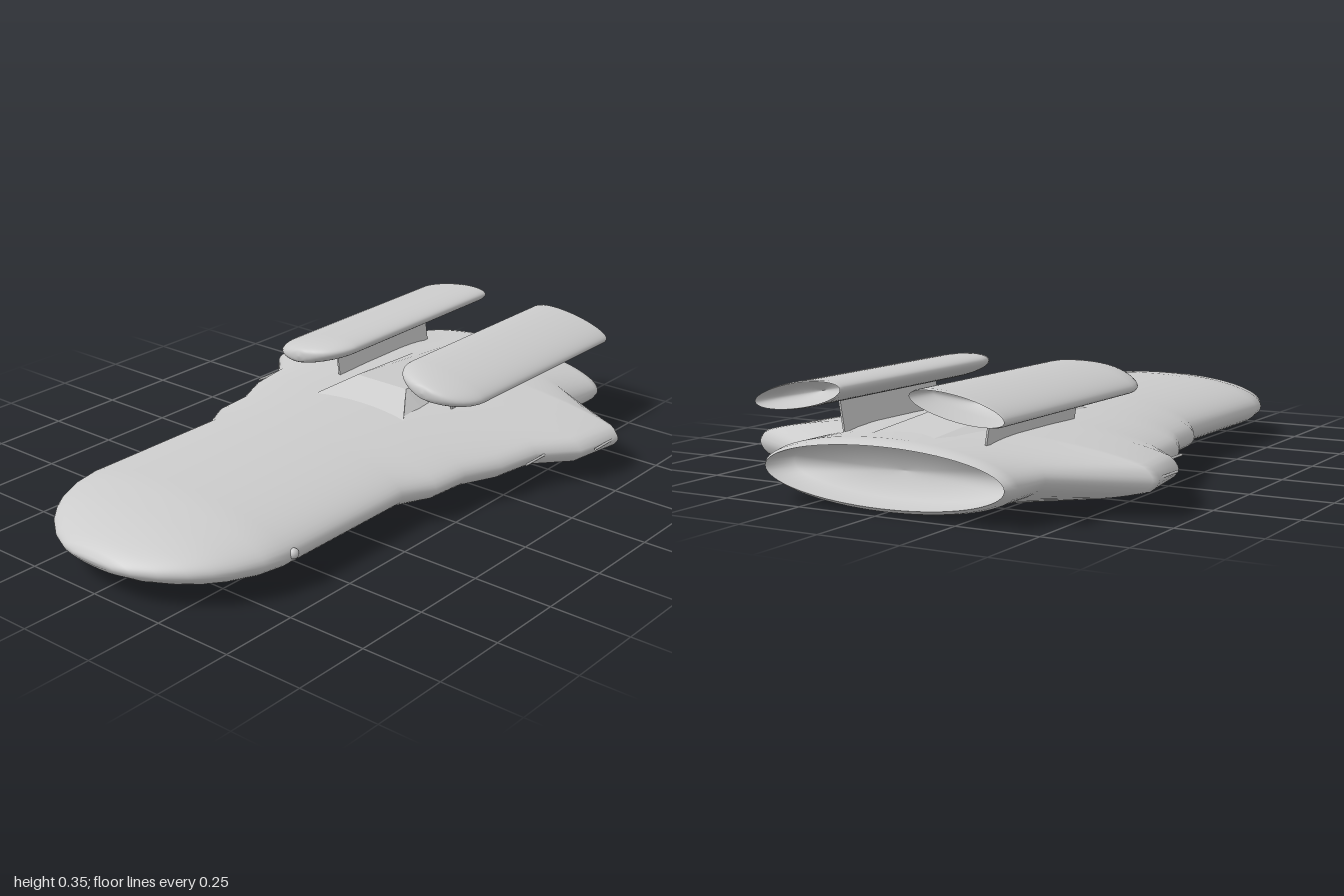
import * as THREE from 'three';

const grey = new THREE.MeshStandardMaterial({ color: 0xcccccc });
const flat = new THREE.MeshStandardMaterial({ color: 0xcccccc, flatShading: true, side: THREE.DoubleSide });
const SIDES = 64;

// Skin over closed rings; each section is [z, halfWidth, halfHeight]
function loft(sections, height) {
  const pos = [], index = [];
  sections.forEach(([z, w, h], i) => {
    for (let j = 0; j < SIDES; j++) {
      const a = (j / SIDES) * Math.PI * 2;
      pos.push(w * Math.cos(a), height(Math.sin(a), w, h), z);
      if (i === sections.length - 1) continue;
      const k = (j + 1) % SIDES, p = i * SIDES, q = p + SIDES;
      index.push(p + j, q + j, p + k, p + k, q + j, q + k);
    }
  });
  const g = new THREE.BufferGeometry();
  g.setAttribute('position', new THREE.Float32BufferAttribute(pos, 3));
  g.setIndex(index);
  g.computeVertexNormals();
  return g;
}

const ellipse = (s, w, h) => h * s;

// Elliptical body that blends into a thin blade as the wings widen
function hullHeight(s, w, h) {
  const k = Math.max(0, (w - 0.4) / 0.26), a = Math.abs(s);
  const blade = (0.022 + 0.078 * Math.pow(a, 1.5)) * Math.min(1, a * 4);
  return (1 - k) * h * s + k * Math.sign(s) * blade;
}

function add(parent, name, geometry, material = grey) {
  const m = new THREE.Mesh(geometry, material);
  m.name = name;
  parent.add(m);
  return m;
}

// Raised wedge behind the middle of the deck
function wedgeGeometry() {
  const rings = [[-0.14, 0.19, 0.186], [-0.27, 0.1, 0.243], [-0.88, 0.1, 0.196]];
  const pos = [], index = [];
  rings.forEach(([z, w, y]) => pos.push(-0.19, 0.17, z, -w, y, z, w, y, z, 0.19, 0.17, z));
  for (let i = 0; i < 2; i++) {
    for (let j = 0; j < 3; j++) {
      const p = i * 4 + j;
      index.push(p, p + 1, p + 4, p + 1, p + 5, p + 4);
    }
  }
  const g = new THREE.BufferGeometry();
  g.setAttribute('position', new THREE.Float32BufferAttribute(pos, 3));
  g.setIndex(index);
  g.computeVertexNormals();
  return g;
}

function makeEngine(side) {
  const engine = new THREE.Group();
  engine.name = side > 0 ? 'leftEngine' : 'rightEngine';
  // Rounded nose, then a straight barrel
  const sections = [];
  for (let i = 0; i <= 10; i++) {
    const t = (i / 10) * Math.PI / 2;
    sections.push([-0.15 - 0.135 * (1 - Math.cos(t)), 0.149 * Math.sin(t), 0.037 * Math.sqrt(Math.sin(t))]);
  }
  sections.push([-0.985, 0.149, 0.037], [-1, 0.145, 0.034]);
  add(engine, 'engineShell', loft(sections, ellipse));
  add(engine, 'engineNozzle', loft([[-1, 0.145, 0.034], [-0.9, 0.135, 0.03], [-0.88, 0, 0]], ellipse));
  engine.position.set(side * 0.252, 0.304, 0);
  engine.rotation.z = -side * 0.18;
  return engine;
}

export function createModel() {
  const model = new THREE.Group();
  model.name = 'spaceship';
  const ship = new THREE.Group();
  ship.name = 'ship';
  ship.position.x = -0.003;
  model.add(ship);

  // Hull: nose, straight body, stepped wings, tail
  const nose = [[1, 0, 0], [0.998, 0.08, 0.012], [0.985, 0.135, 0.027], [0.95, 0.205, 0.046],
    [0.9, 0.27, 0.063], [0.85, 0.316, 0.076], [0.8, 0.35, 0.085], [0.72, 0.385, 0.095], [0.64, 0.4, 0.1]];
  const body = [[0.13, 0.4], [0.03, 0.45], [-0.1, 0.462], [-0.22, 0.515], [-0.37, 0.54],
    [-0.48, 0.635], [-0.655, 0.662], [-0.67, 0.65], [-0.8, 0.4], [-0.94, 0.4]].map(([z, w]) => [z, w, 0.1]);
  const hull = add(ship, 'hull', loft([...nose, ...body, [-0.965, 0.394, 0.094], [-0.98, 0.382, 0.083]], hullHeight));
  const nozzle = add(ship, 'hullNozzle', loft([[-0.98, 0.382, 0.083], [-0.88, 0.36, 0.075], [-0.86, 0, 0]], ellipse));
  hull.position.y = nozzle.position.y = 0.1;

  add(ship, 'deckWedge', wedgeGeometry(), flat);

  for (const side of [1, -1]) {
    ship.add(makeEngine(side));

    // Thin slanted fin carrying the engine
    const pylon = add(ship, 'pylon', new THREE.BoxGeometry(0.006, 0.105, 0.485));
    pylon.position.set(side * 0.238, 0.228, -0.578);
    pylon.rotation.z = -side * 0.16;

    // Rods along the wing edge
    for (const [x, z, len] of [[0.555, -0.36, 0.14], [0.654, -0.59, 0.12]]) {
      const rod = add(ship, 'wingRod', new THREE.CylinderGeometry(0.004, 0.004, len, 8));
      rod.rotation.x = Math.PI / 2;
      rod.position.set(side * x, 0.103, z);
    }
  }

  // Small sensor on the left side of the nose
  add(ship, 'sensor', new THREE.SphereGeometry(0.016, 16, 12)).position.set(0.396, 0.104, 0.615);

  return model;
}
